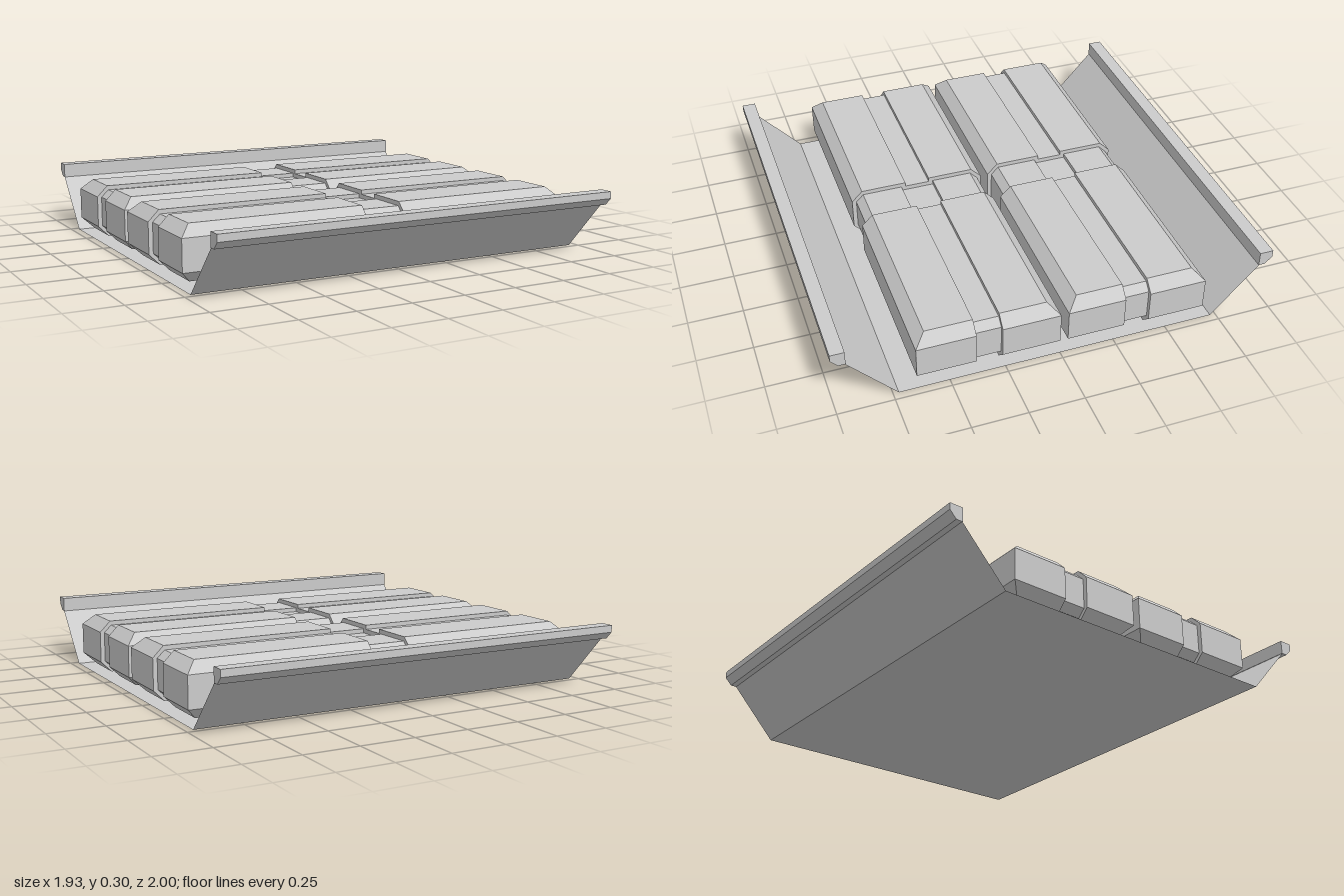
import * as THREE from 'three';
import { mergeGeometries } from 'three/addons/utils/BufferGeometryUtils.js';

const HALF_X = 0.965; // half the length of the tray and bricks
const mat = new THREE.MeshStandardMaterial({ color: 0xcccccc, flatShading: true, side: THREE.DoubleSide });

function addMesh(parent, name, geometry) {
  const mesh = new THREE.Mesh(geometry, mat);
  mesh.name = name;
  parent.add(mesh);
  return mesh;
}

// Block whose top and bottom edges are chamfered only on the sides given by sx and sz (-1, 0 or 1)
function block(x0, x1, z0, z1, y0, y1, sx, sz, c = 0.05, cx = c) {
  const g = new THREE.BoxGeometry(1, 1, 1, 1, 3, 1);
  const p = g.attributes.position;
  const levels = [y0, y0 + c, y1 - c, y1];
  for (let i = 0; i < p.count; i++) {
    const row = Math.round((p.getY(i) + 0.5) * 3);
    const cap = row === 0 || row === 3;
    const dx = Math.sign(p.getX(i)), dz = Math.sign(p.getZ(i));
    const x = (dx > 0 ? x1 : x0) - (cap && dx === sx ? dx * cx : 0);
    const z = (dz > 0 ? z1 : z0) - (cap && dz === sz ? dz * c : 0);
    p.setXYZ(i, x, levels[row], z);
  }
  return g;
}

// Brick with a band groove around it each way, the grooves cutting deeper where they cross
function makeBrick() {
  const brick = new THREE.Group();
  const halfZ = 0.322, bandX = 0.095, bandZ = 0.058, depth = 0.02;
  const y0 = 0.02, y1 = 0.265;
  const corners = [], endBands = [], middleBands = [];
  for (const s of [-1, 1]) {
    const range = (a, b) => (s > 0 ? [a, b] : [-b, -a]);
    for (const t of [-1, 1]) {
      const zs = t > 0 ? [bandZ, halfZ] : [-halfZ, -bandZ];
      corners.push(block(...range(bandX, HALF_X), ...zs, y0, y1, s, t));
    }
    endBands.push(block(...range(bandX, HALF_X - depth), -bandZ, bandZ,
      y0 + depth, y1 - depth, s, 0, 0.033, 0.035));
    middleBands.push(block(-bandX, bandX, ...range(bandZ + depth, halfZ - depth),
      y0 + depth, y1 - depth, 0, s, 0.035));
  }
  const inner = bandZ + depth;
  middleBands.push(block(-bandX, bandX, -inner, inner, y0 + 2 * depth, y1 - 2 * depth, 0, 0));
  addMesh(brick, 'brickCorners', mergeGeometries(corners));
  addMesh(brick, 'endGrooves', mergeGeometries(endBands));
  addMesh(brick, 'middleGroove', mergeGeometries(middleBands));
  return brick;
}

// Thin sheet: flat floor with a slope up to each rail
function traySheet() {
  const g = new THREE.PlaneGeometry(2 * HALF_X, 3, 1, 3).rotateX(-Math.PI / 2);
  const p = g.attributes.position;
  for (let i = 0; i < p.count; i++) {
    const z = p.getZ(i), outer = Math.abs(z) > 1;
    p.setY(i, outer ? 0.235 : 0);
    p.setZ(i, Math.sign(z) * (outer ? 0.94 : 0.725));
  }
  return g;
}

// Rail along x with its lower outer edge cut off
function railGeometry(s) {
  const profile = [[0.937, 0.235], [0.968, 0.235], [1, 0.268], [1, 0.3], [0.937, 0.3]];
  const shape = new THREE.Shape(profile.map(([z, y]) => new THREE.Vector2(s * z, y)));
  return new THREE.ExtrudeGeometry(shape, { depth: 2 * HALF_X, bevelEnabled: false })
    .translate(0, 0, -HALF_X)
    .rotateY(-Math.PI / 2);
}

export function createModel() {
  const model = new THREE.Group();
  model.name = 'trayWithBricks';
  addMesh(model, 'tray', traySheet());
  addMesh(model, 'frontRail', railGeometry(1));
  addMesh(model, 'backRail', railGeometry(-1));
  for (const [name, z] of [['frontBrick', 0.322], ['backBrick', -0.357]]) {
    const brick = makeBrick();
    brick.name = name;
    brick.position.z = z;
    model.add(brick);
  }
  return model;
}
